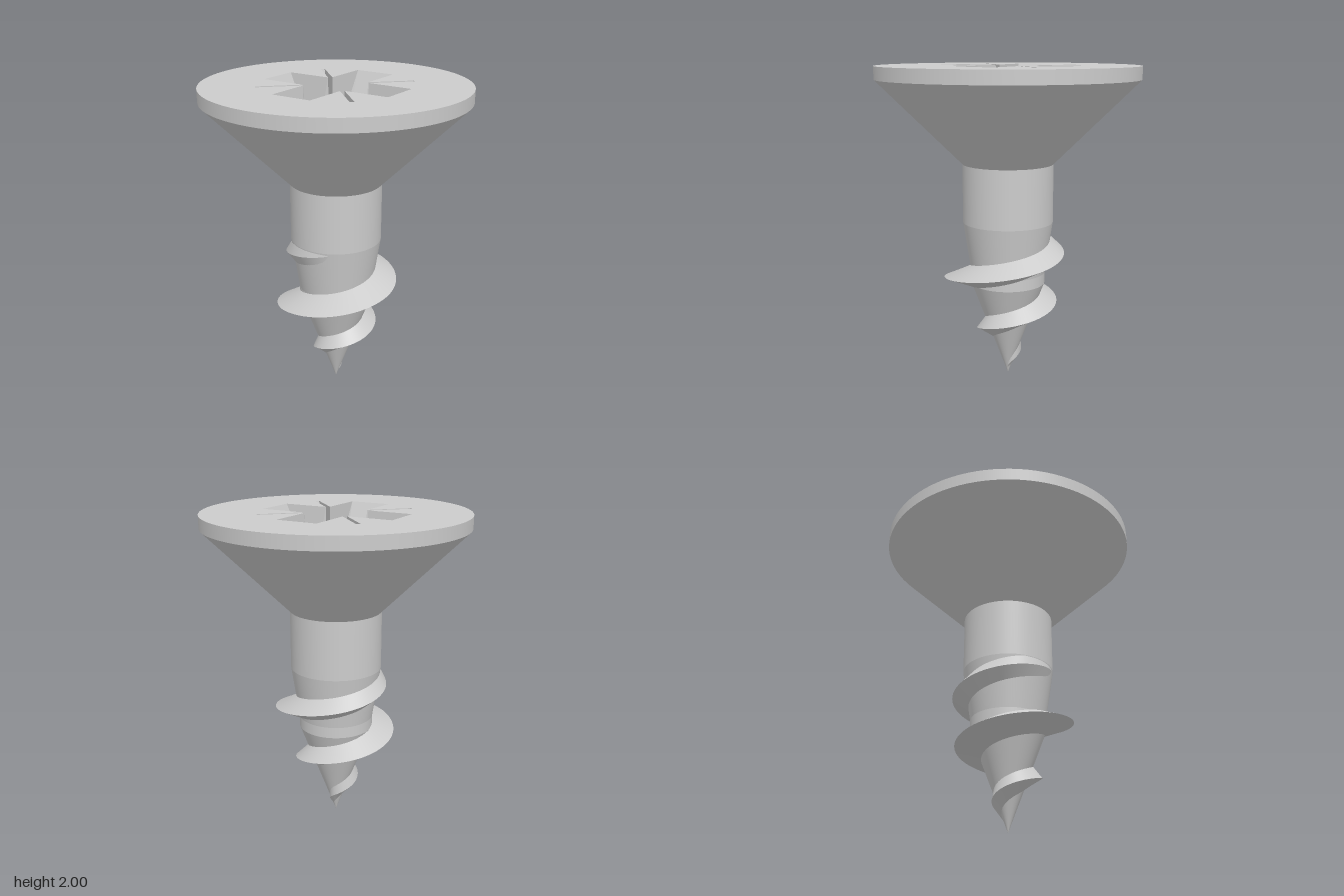
import * as THREE from 'three';

const TURN = Math.PI * 2;
const material = new THREE.MeshStandardMaterial({ color: 0xcccccc });

// Linear interpolation through [y, radius] pairs
function radiusAt(table, y) {
  if (y <= table[0][0]) return table[0][1];
  for (let i = 1; i < table.length; i++) {
    const [y0, r0] = table[i - 1], [y1, r1] = table[i];
    if (y <= y1) return r0 + (r1 - r0) * (y - y0) / (y1 - y0);
  }
  return table[table.length - 1][1];
}

// Core of the screw from the tip up, and the crest of the thread
const CORE = [[0, 0], [0.63, 0.235], [0.7, 0.235], [1.03, 0.285], [1.4, 0.285]];
const CREST = [[0, 0], [0.05, 0.02], [0.13, 0.07], [0.62, 0.4], [0.66, 0.41],
  [0.73, 0.4], [0.82, 0.365], [0.91, 0.328], [1.03, 0.275]];

const FLOOR = 1.55;     // bottom of the driver recess
const PITCH = 0.347;

function geometryFrom(positions, indices) {
  const g = new THREE.BufferGeometry();
  g.setAttribute('position', new THREE.Float32BufferAttribute(positions, 3));
  if (indices) g.setIndex(indices);
  g.computeVertexNormals();
  return g;
}

// One helical flank of the thread between two edge functions of height
function flank(lower, upper) {
  const pos = [], idx = [], steps = 360, y0 = 0.05, y1 = 1.03;
  for (let i = 0; i <= steps; i++) {
    const y = y0 + (y1 - y0) * i / steps;
    const a = (y - 0.295) / PITCH * TURN;
    for (const [r, h] of [lower(y), upper(y)]) pos.push(Math.sin(a) * r, h, Math.cos(a) * r);
    if (i < steps) {
      const k = i * 2;
      idx.push(k, k + 2, k + 3, k, k + 3, k + 1);
    }
  }
  return geometryFrom(pos, idx);
}

// Cross with four thin diagonal slits, counterclockwise
function recessOutline(armLength, armHalf, corner, slitEnd) {
  const w = 0.013, e = w * Math.SQRT2, d = slitEnd / Math.SQRT2, s = w / Math.SQRT2;
  const quarter = [
    [armLength, -armHalf], [armLength, armHalf], [corner + e, corner],
    [d + s, d - s], [d - s, d + s], [corner, corner + e],
  ];
  const out = [];
  for (let q = 0; q < 4; q++) {
    const c = Math.round(Math.cos(q * TURN / 4)), n = Math.round(Math.sin(q * TURN / 4));
    for (const [x, y] of quarter) out.push(new THREE.Vector2(x * c - y * n, x * n + y * c));
  }
  return out;
}

export function createModel() {
  const model = new THREE.Group();
  const add = (name, geometry, parent = model) => {
    const mesh = new THREE.Mesh(geometry, material);
    mesh.name = name;
    parent.add(mesh);
  };
  const lathe = (pairs) => new THREE.LatheGeometry(pairs.map(([y, r]) => new THREE.Vector2(r, y)), 96);

  // Tip, core and shank as separate bands so that their edges stay crisp
  const names = ['tip', 'coreBand', 'taperedCore', 'shank'];
  names.forEach((name, i) => add(name, lathe([CORE[i], CORE[i + 1]])));

  // Countersunk head
  const head = new THREE.Group();
  head.name = 'head';
  model.add(head);
  add('headCone', lathe([[1.4, 0.285], [1.92, 0.81]]), head);
  add('headRim', lathe([[1.92, 0.81], [2, 0.81]]), head);

  const topOutline = recessOutline(0.435, 0.13, 0.13, 0.475);
  const floorOutline = recessOutline(0.21, 0.085, 0.108, 0.385);

  // Head face with the recess opening
  const face = new THREE.Shape().absarc(0, 0, 0.81, 0, TURN);
  face.holes.push(new THREE.Path(topOutline));
  add('headFace', new THREE.ShapeGeometry(face, 48).rotateX(-Math.PI / 2).translate(0, 2, 0), head);

  // Tapering recess walls, flat shaded by unshared vertices
  const walls = [];
  topOutline.forEach((t, i) => {
    const j = (i + 1) % topOutline.length;
    const t0 = [t.x, 2, -t.y], t1 = [topOutline[j].x, 2, -topOutline[j].y];
    const b0 = [floorOutline[i].x, FLOOR, -floorOutline[i].y];
    const b1 = [floorOutline[j].x, FLOOR, -floorOutline[j].y];
    walls.push(...t0, ...t1, ...b1, ...t0, ...b1, ...b0);
  });
  add('recessWalls', geometryFrom(walls), head);

  // Recess floor around a shallow conical pit
  const floor = new THREE.Shape(floorOutline);
  floor.holes.push(new THREE.Path().absarc(0, 0, 0.15, 0, TURN, true));
  add('recessFloor', new THREE.ShapeGeometry(floor, 48).rotateX(-Math.PI / 2).translate(0, FLOOR, 0), head);
  add('recessPit', lathe([[FLOOR, 0.15], [FLOOR - 0.06, 0]]), head);

  // Sharp-crested thread winding from the tip to the shank
  const half = (y) => Math.min(0.075, y * 0.55);
  const root = (h) => [Math.max(radiusAt(CORE, h) - 0.004, 0), h];
  const crest = (y) => [radiusAt(CREST, y), y];
  const thread = new THREE.Group();
  thread.name = 'thread';
  model.add(thread);
  add('threadUnderside', flank((y) => root(y - half(y)), crest), thread);
  add('threadTopside', flank(crest, (y) => root(Math.min(y + half(y), 1.035))), thread);

  return model;
}
